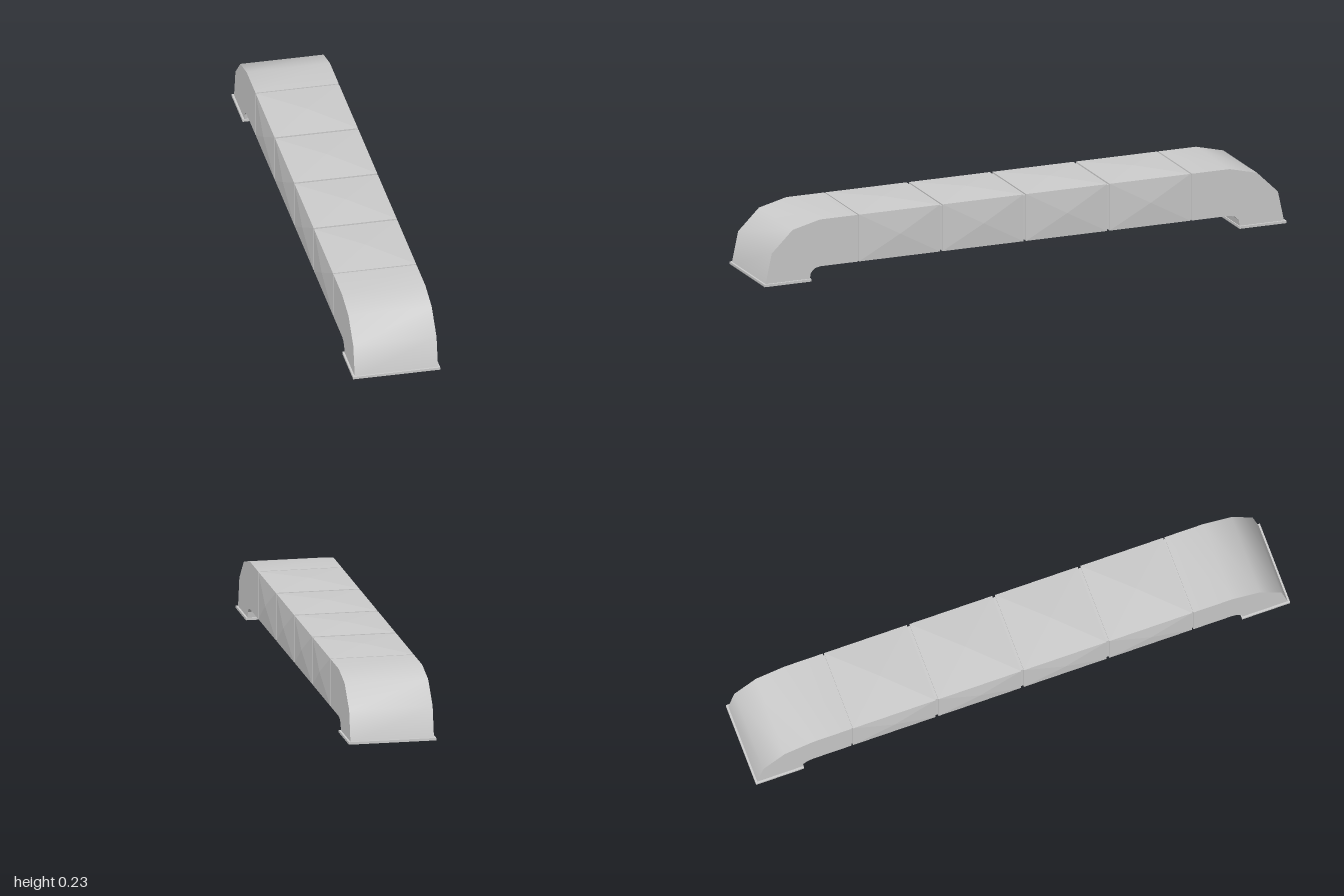
import * as THREE from 'three';
import { toCreasedNormals } from 'three/addons/utils/BufferGeometryUtils.js';

const HALF_WIDTH = 0.15, BOTTOM = 0.05, TOP = 0.222;
const HEIGHT = TOP - BOTTOM, MID = (TOP + BOTTOM) / 2;
const PITCH = 0.32, GAP = 0.01;

// Box whose sides each rise to a shallow point in the middle
function pillowBox(w, h, l, bulgeX, bulgeY) {
  const pos = [];
  const half = [w / 2, h / 2, l / 2];
  const bulge = [bulgeX, bulgeY, 0];
  for (let axis = 0; axis < 3; axis++) {
    const u = (axis + 1) % 3, v = (axis + 2) % 3;
    for (const s of [1, -1]) {
      const ring = [[-1, -1], [1, -1], [1, 1], [-1, 1]].map(([a, b]) => {
        const p = [0, 0, 0];
        p[axis] = s * half[axis];
        p[u] = a * half[u] * s;
        p[v] = b * half[v];
        return p;
      });
      const apex = [0, 0, 0];
      apex[axis] = s * (half[axis] + bulge[axis]);
      for (let i = 0; i < 4; i++) pos.push(...ring[i], ...ring[(i + 1) % 4], ...apex);
    }
  }
  const geo = new THREE.BufferGeometry();
  geo.setAttribute('position', new THREE.Float32BufferAttribute(pos, 3));
  geo.computeVertexNormals();
  return geo;
}

// Curved end piece, drawn in side profile (z, y) and extruded across x
function elbowGeometry() {
  const profile = [
    [0.995, 0], [0.97, 0.118], [0.89, 0.196], [0.785, TOP], [0.64, TOP],
    [0.64, BOTTOM], [0.785, BOTTOM], [0.805, 0.045], [0.82, 0.03], [0.825, 0],
  ];
  const shape = new THREE.Shape(profile.map(([z, y]) => new THREE.Vector2(z, y)));
  const geo = new THREE.ExtrudeGeometry(shape, { depth: 2 * HALF_WIDTH, bevelEnabled: false });
  geo.translate(0, 0, -HALF_WIDTH);
  geo.rotateY(-Math.PI / 2);
  return toCreasedNormals(geo, 0.6);
}

export function createModel() {
  const group = new THREE.Group();
  const material = new THREE.MeshStandardMaterial({ color: 0xcccccc });
  const add = (name, geo, parent = group) => {
    const mesh = new THREE.Mesh(geo, material);
    mesh.name = name;
    parent.add(mesh);
    return mesh;
  };

  // Four straight duct sections
  const section = pillowBox(2 * HALF_WIDTH, HEIGHT, PITCH - GAP, 0.007, 0.009);
  for (let i = 0; i < 4; i++) {
    add('ductSection' + (i + 1), section).position.set(0, MID, (i - 1.5) * PITCH);
  }

  // Recessed joints between sections
  const joint = new THREE.BoxGeometry(2 * HALF_WIDTH - 0.01, HEIGHT - 0.01, GAP * 1.5);
  for (let i = 0; i < 5; i++) {
    add('joint' + (i + 1), joint).position.set(0, MID, (i - 2) * PITCH);
  }

  // Downturned elbows with foot flanges at both ends
  const elbow = elbowGeometry();
  const flange = new THREE.BoxGeometry(0.314, 0.009, 0.18);
  for (const [name, turn] of [['frontEnd', 0], ['backEnd', Math.PI]]) {
    const end = new THREE.Group();
    end.name = name;
    end.rotation.y = turn;
    add('elbow', elbow, end);
    add('footFlange', flange, end).position.set(0, 0.0045, 0.91);
    group.add(end);
  }
  return group;
}
